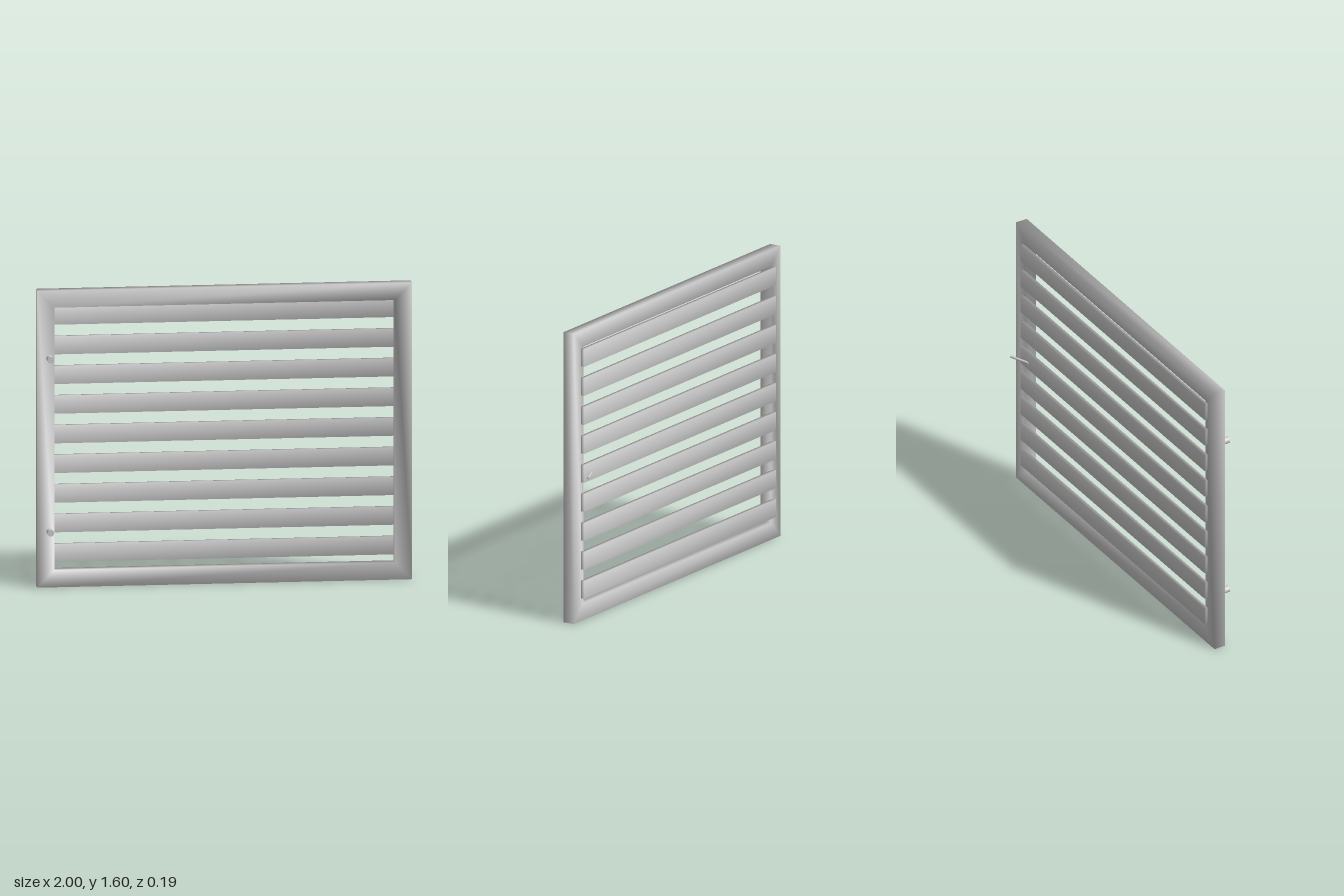
import * as THREE from 'three';
import { mergeVertices } from 'three/addons/utils/BufferGeometryUtils.js';

const material = new THREE.MeshStandardMaterial({ color: 0xcccccc });

function addMesh(group, name, geometry, x, y, z) {
  const mesh = new THREE.Mesh(geometry, material);
  mesh.name = name;
  mesh.position.set(x, y, z);
  group.add(mesh);
  return mesh;
}

// Share the corners of a box so its shading runs smoothly round the edges
function softBox(w, h, d) {
  const box = new THREE.BoxGeometry(w, h, d);
  box.deleteAttribute('normal');
  box.deleteAttribute('uv');
  const soft = mergeVertices(box);
  soft.computeVertexNormals();
  return soft;
}

// Mitred rectangular ring: a four-point bar section carried round four corners
function mitredFrame(w, h, bar, depth) {
  const section = [[0, 1], [bar, 1], [bar, -1], [0, -1]];
  const corners = [[-1, -1], [1, -1], [1, 1], [-1, 1]];
  const positions = [], index = [];
  corners.forEach(([sx, sy], i) => {
    section.forEach(([inset, sz], j) => {
      positions.push(sx * (w / 2 - inset), sy * (h / 2 - inset), sz * depth / 2);
      const n = (i + 1) % 4, k = (j + 1) % 4;
      const a = i * 4 + j, b = n * 4 + j, c = n * 4 + k, d = i * 4 + k;
      index.push(a, b, c, a, c, d);
    });
  });
  const geometry = new THREE.BufferGeometry();
  geometry.setAttribute('position', new THREE.Float32BufferAttribute(positions, 3));
  geometry.setIndex(index);
  geometry.computeVertexNormals();
  return geometry;
}

export function createModel() {
  const group = new THREE.Group();
  group.name = 'slattedShutter';

  // Outer frame
  addMesh(group, 'frame', mitredFrame(2, 1.6, 0.092, 0.065), 0, 0.8, 0.004);

  // Nine horizontal slats fixed to the back of the frame
  const slat = softBox(1.855, 0.098, 0.02);
  for (let i = 0; i < 9; i++) {
    addMesh(group, 'slat' + (i + 1), slat, 0, 0.173 + i * 0.16, -0.037);
  }

  // Hinge pegs in front of the right-hand stile
  const peg = new THREE.CylinderGeometry(0.018, 0.018, 0.052, 16).rotateX(Math.PI / 2);
  for (const y of [0.303, 1.237]) addMesh(group, 'hingePeg', peg, -0.935, y, 0.071);

  // Thin latch pin slanting out from the middle slat
  const start = new THREE.Vector3(0.85, 0.803, -0.044);
  const end = new THREE.Vector3(0.956, 0.803, -0.09);
  const direction = end.clone().sub(start);
  const pin = addMesh(group, 'latchPin',
    new THREE.CylinderGeometry(0.007, 0.007, direction.length(), 12), 0, 0, 0);
  pin.position.copy(start).add(end).multiplyScalar(0.5);
  pin.quaternion.setFromUnitVectors(new THREE.Vector3(0, 1, 0), direction.normalize());

  return group;
}
